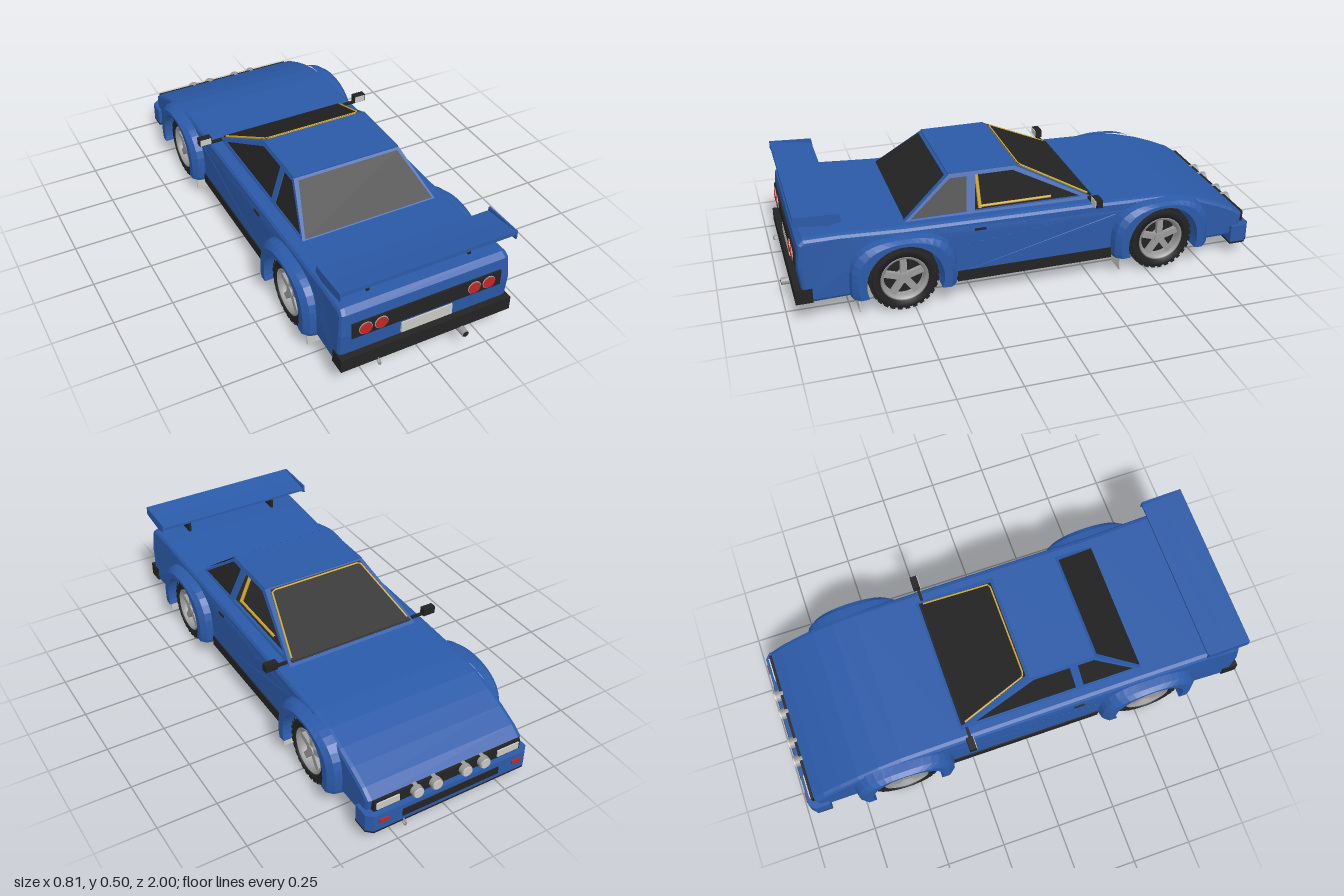
import * as THREE from 'three';

const mat = (name, color, side = THREE.FrontSide) => {
  const m = new THREE.MeshStandardMaterial({ color, side });
  m.name = name;
  return m;
};

export function createModel() {
  const blue = mat('blue paint', 0x2b5aa8);
  const black = mat('black trim', 0x232323, THREE.DoubleSide);
  const pale = mat('pale plate', 0xcac8c2);
  const metal = mat('grey metal', 0x9b9b9b);
  const red = mat('red lamp', 0xc42426);
  const yellow = mat('yellow cage', 0xd2a92a);
  const car = new THREE.Group();
  car.name = 'car';

  const add = (name, geo, m, parent = car) => {
    const mesh = new THREE.Mesh(geo, m);
    mesh.name = name;
    parent.add(mesh);
    return mesh;
  };
  // box given by its min and max corners
  const box = (name, m, x0, x1, y0, y1, z0, z1, parent) =>
    add(name, new THREE.BoxGeometry(x1 - x0, y1 - y0, z1 - z0)
      .translate((x0 + x1) / 2, (y0 + y1) / 2, (z0 + z1) / 2), m, parent);
  const shapeOf = pts => new THREE.Shape(pts.map(p => new THREE.Vector2(...p)));
  // side outline (z, y) extruded across x
  const sideExtrude = (shape, x0, x1, opts = {}) =>
    new THREE.ExtrudeGeometry(shape, { depth: x1 - x0, bevelEnabled: false, ...opts })
      .rotateY(-Math.PI / 2).translate(x1, 0, 0);
  const warp = (geo, rule) => {
    const p = geo.attributes.position, v = new THREE.Vector3();
    for (let i = 0; i < p.count; i++) {
      rule(v.fromBufferAttribute(p, i));
      p.setXYZ(i, v.x, v.y, v.z);
    }
    geo.computeVertexNormals();
    return geo;
  };
  // cylinder lying along z
  const disc = (name, m, r, x, y, z0, z1, parent) =>
    add(name, new THREE.CylinderGeometry(r, r, z1 - z0, 20).rotateX(Math.PI / 2)
      .translate(x, y, (z0 + z1) / 2), m, parent);
  const tube = (name, pts, r, m) => {
    const path = new THREE.CurvePath();
    const v = pts.map(p => new THREE.Vector3(...p));
    for (let i = 1; i < v.length; i++) path.add(new THREE.LineCurve3(v[i - 1], v[i]));
    add(name, new THREE.TubeGeometry(path, 48, r, 6), m);
  };
  // flat-shaded surface through rows of points
  const skin = rows => {
    const out = [];
    for (let i = 0; i + 1 < rows.length; i++)
      for (let j = 0; j + 1 < rows[0].length; j++) {
        const a = rows[i][j], b = rows[i][j + 1], c = rows[i + 1][j + 1], d = rows[i + 1][j];
        out.push(...a, ...b, ...d, ...b, ...c, ...d);
      }
    const g = new THREE.BufferGeometry();
    g.setAttribute('position', new THREE.Float32BufferAttribute(out, 3));
    g.computeVertexNormals();
    return g;
  };

  // Main body: side profile with wheel arches cut through
  const axles = [0.54, -0.555], axleY = 0.142;
  const body = shapeOf([[-0.93, 0.09], [-0.945, 0.19], [-0.9, 0.222], [-0.82, 0.258], [-0.74, 0.288],
    [-0.65, 0.313], [-0.55, 0.328], [-0.28, 0.336], [0.52, 0.348], [0.78, 0.363], [0.92, 0.365],
    [0.942, 0.345], [0.95, 0.25], [0.935, 0.09]]);
  for (const z of axles) {
    const r = 0.165, a = Math.asin((0.09 - axleY) / r);
    for (let i = 0; i <= 18; i++) {
      const t = a + (Math.PI - 2 * a) * i / 18;
      body.lineTo(z + r * Math.cos(t), axleY + r * Math.sin(t));
    }
  }
  add('body', warp(sideExtrude(body, -0.335, 0.335,
    { bevelEnabled: true, bevelSize: 0.015, bevelThickness: 0.02, bevelOffset: -0.015, bevelSegments: 2 }),
  p => { p.x *= 1 + Math.max(0, p.z - 0.6) * 0.1 - Math.max(0, p.y - 0.3) * 0.4; }), blue);
  box('floor', blue, -0.265, 0.265, 0.075, 0.092, -0.93, 0.93);

  // Cabin: roof, windscreen and rear window
  box('roof', blue, -0.235, 0.235, 0.49, 0.502, 0.04, 0.32);
  box('cabinFloor', black, -0.284, 0.284, 0.335, 0.35, -0.27, 0.5);
  const pane = (b, y0, z0, t, y1, z1) => {
    const s = Math.sign(z1 - z0);
    return skin([[[-s * b, y0, z0], [-s * t, y1, z1]], [[s * b, y0, z0], [s * t, y1, z1]]]);
  };
  add('windscreenFrame', pane(0.3, 0.335, -0.285, 0.235, 0.501, 0.045), blue);
  add('windscreen', pane(0.285, 0.343, -0.272, 0.217, 0.495, 0.03), black).position.set(0, 0.004, -0.002);
  add('rearWindowFrame', pane(0.3, 0.34, 0.525, 0.235, 0.501, 0.315), blue);
  add('rearWindow', pane(0.285, 0.352, 0.512, 0.222, 0.49, 0.33), black).position.set(0, 0.003, 0.003);

  // Roll cage
  tube('windscreenCage', [[-0.278, 0.355, -0.255], [-0.213, 0.4945, 0.022], [0.213, 0.4945, 0.022],
    [0.278, 0.355, -0.255]], 0.0045, yellow);
  tube('mainHoop', [[-0.27, 0.35, 0.2], [-0.215, 0.48, 0.2], [0.215, 0.48, 0.2], [0.27, 0.35, 0.2]], 0.008, yellow);
  for (const s of [1, -1]) {
    tube('roofRail', [[s * 0.215, 0.482, 0.2], [s * 0.215, 0.482, 0.04]], 0.007, yellow);
    tube('doorBar', [[s * 0.27, 0.358, 0.2], [s * 0.27, 0.358, -0.1]], 0.006, yellow);
  }

  const quarterWindow = [[0.49, 0.353], [0.262, 0.353], [0.245, 0.484], [0.315, 0.484]];
  const doorWindow = [[0.228, 0.352], [0.21, 0.485], [0.055, 0.485], [-0.225, 0.35]];
  const lean = p => { p.x -= (p.y - 0.335) * 0.394; };
  const tyre = new THREE.LatheGeometry([[0.095, -0.05], [0.125, -0.052], [0.134, -0.045], [0.136, 0],
    [0.134, 0.045], [0.125, 0.052], [0.095, 0.05], [0.092, 0], [0.095, -0.05]]
    .map(p => new THREE.Vector2(...p)), 40).rotateZ(-Math.PI / 2);
  const rim = new THREE.LatheGeometry([[0.08, -0.045], [0.096, -0.045], [0.098, 0.05], [0.09, 0.052],
    [0.08, 0.035], [0.08, -0.045]].map(p => new THREE.Vector2(...p)), 40).rotateZ(-Math.PI / 2);

  const wheel = (parent, z) => {
    const w = new THREE.Group();
    w.name = 'wheel';
    w.position.set(0.325, 0.14, z);
    parent.add(w);
    add('tyre', tyre, black, w);
    add('rim', rim, metal, w);
    add('brakeDisc', new THREE.CylinderGeometry(0.082, 0.082, 0.02, 24).rotateZ(Math.PI / 2), black, w);
    add('hub', new THREE.CylinderGeometry(0.022, 0.026, 0.04, 16).rotateZ(-Math.PI / 2).translate(0.025, 0, 0), metal, w);
    for (let i = 0; i < 5; i++)
      add('spoke', new THREE.BoxGeometry(0.018, 0.075, 0.026).translate(0.03, 0.05, 0)
        .rotateX(i * Math.PI * 0.4), metal, w);
    // tread blocks
    for (let i = 0; i < 28; i++)
      for (const s of [-1, 1])
        add('tread', new THREE.BoxGeometry(0.044, 0.009, 0.018).translate(s * 0.026, 0.1355, 0)
          .rotateX((i + s * 0.25) * Math.PI / 14), black, w);
  };

  // Flared arch: inner wall, flat face, slope back to the body
  const flare = (z, h) => {
    const rows = [[0.3, 0], [0.405, 0], [0.405, 0.5], [0.385, 0.85], [0.345, 1]].map(([x, k]) => {
      const row = [];
      for (let i = 0; i <= 24; i++) {
        const t = -0.34 + (Math.PI + 0.68) * i / 24, c = Math.cos(t), s = Math.sin(t), n = 3;
        const R = (Math.abs(c / 0.22) ** n + Math.abs(s / h) ** n) ** (-1 / n);
        const r = 0.155 + (R - 0.155) * k;
        row.push([x, Math.max(0.088, axleY + r * s), z + r * c]);
      }
      return row;
    });
    return skin(rows);
  };

  // Everything that repeats on both sides
  for (const s of [1, -1]) {
    const side = new THREE.Group();
    side.name = s > 0 ? 'leftSide' : 'rightSide';
    side.scale.x = s;
    car.add(side);
    const frame = shapeOf([[0.525, 0.338], [0.315, 0.501], [0.045, 0.501], [-0.285, 0.333]]);
    frame.holes.push(new THREE.Path(quarterWindow.map(p => new THREE.Vector2(...p))),
      new THREE.Path(doorWindow.map(p => new THREE.Vector2(...p))));
    add('windowFrame', warp(sideExtrude(frame, 0.288, 0.3), lean), blue, side);
    add('quarterGlass', warp(sideExtrude(shapeOf(quarterWindow), 0.291, 0.296), lean), black, side);
    if (s < 0) add('doorGlass', warp(sideExtrude(shapeOf(doorWindow), 0.291, 0.296), lean), black, side);
    axles.forEach((z, i) => {
      wheel(side, z);
      add('flaredArch', flare(z, i ? 0.178 : 0.182), blue, side);
      box('mudflap', pale, 0.265, 0.385, 0.028, 0.1, z + 0.181, z + 0.187, side);
    });
    box('sill', black, 0.33, 0.36, 0.08, 0.125, -0.34, 0.32, side);
    box('doorHandle', black, 0.345, 0.359, 0.298, 0.306, 0.2, 0.245, side);
    // mirror
    box('mirrorArm', black, 0.3, 0.36, 0.34, 0.35, -0.262, -0.25, side);
    box('mirrorShell', black, 0.35, 0.405, 0.343, 0.376, -0.275, -0.247, side);
    box('mirrorGlass', pale, 0.353, 0.402, 0.346, 0.373, -0.248, -0.244, side);
    // tail lamps
    for (const x of [0.2, 0.265]) {
      disc('lampRing', metal, 0.028, x, 0.266, 0.94, 0.957, side);
      disc('tailLamp', red, 0.025, x, 0.266, 0.95, 0.96, side);
    }
    // front lamps
    for (const x of [0.068, 0.153]) {
      disc('spotlight', metal, 0.024, x, 0.168, -0.978, -0.94, side);
      disc('spotlightLens', pale, 0.021, x, 0.168, -0.984, -0.975, side);
    }
    box('headlamp', pale, 0.225, 0.325, 0.152, 0.182, -0.963, -0.956, side);
    box('indicator', red, 0.285, 0.325, 0.102, 0.118, -0.984, -0.976, side);
    // wing support and end plate
    box('wingSupport', black, 0.212, 0.224, 0.355, 0.445, 0.82, 0.88, side);
    add('wingEndPlate', sideExtrude(shapeOf([[0.952, 0.472], [0.952, 0.435], [0.82, 0.419], [0.77, 0.43],
      [0.775, 0.462]]), 0.366, 0.373), blue, side);
  }

  add('rearWing', sideExtrude(shapeOf([[0.952, 0.472], [0.952, 0.455], [0.86, 0.438], [0.775, 0.436],
    [0.775, 0.446], [0.86, 0.456]]), -0.368, 0.368), blue);

  // Tail
  box('lampPanel', black, -0.32, 0.32, 0.232, 0.3, 0.93, 0.954);
  box('numberPlate', pale, -0.11, 0.11, 0.169, 0.218, 0.94, 0.953);
  box('rearBumper', black, -0.37, 0.37, 0.095, 0.155, 0.9, 0.968);
  disc('exhaust', metal, 0.015, 0.15, 0.083, 0.83, 1);
  disc('exhaustBore', black, 0.012, 0.15, 0.083, 0.99, 1.0005);
  add('rearTowHook', new THREE.TorusGeometry(0.012, 0.003, 6, 16).rotateY(Math.PI / 2)
    .translate(-0.215, 0.09, 0.975), metal);

  // Nose
  box('frontLampPanel', black, -0.335, 0.335, 0.143, 0.19, -0.957, -0.92);
  const bumper = shapeOf([[-0.37, 0.89], [-0.37, 0.955], [-0.345, 0.978], [0.345, 0.978], [0.37, 0.955], [0.37, 0.89]]);
  add('frontBumper', new THREE.ExtrudeGeometry(bumper, { depth: 0.075, bevelEnabled: false })
    .rotateX(-Math.PI / 2).translate(0, 0.065, 0), blue);
  add('frontLip', new THREE.ExtrudeGeometry(bumper, { depth: 0.008, bevelEnabled: false })
    .rotateX(-Math.PI / 2).translate(0, 0.057, 0), black);
  box('bumperSlot', black, -0.22, 0.22, 0.085, 0.118, -0.982, -0.974);
  add('frontTowHook', new THREE.TorusGeometry(0.012, 0.003, 6, 16).rotateY(Math.PI / 2)
    .translate(0.215, 0.055, -0.985), metal);

  return car;
}
